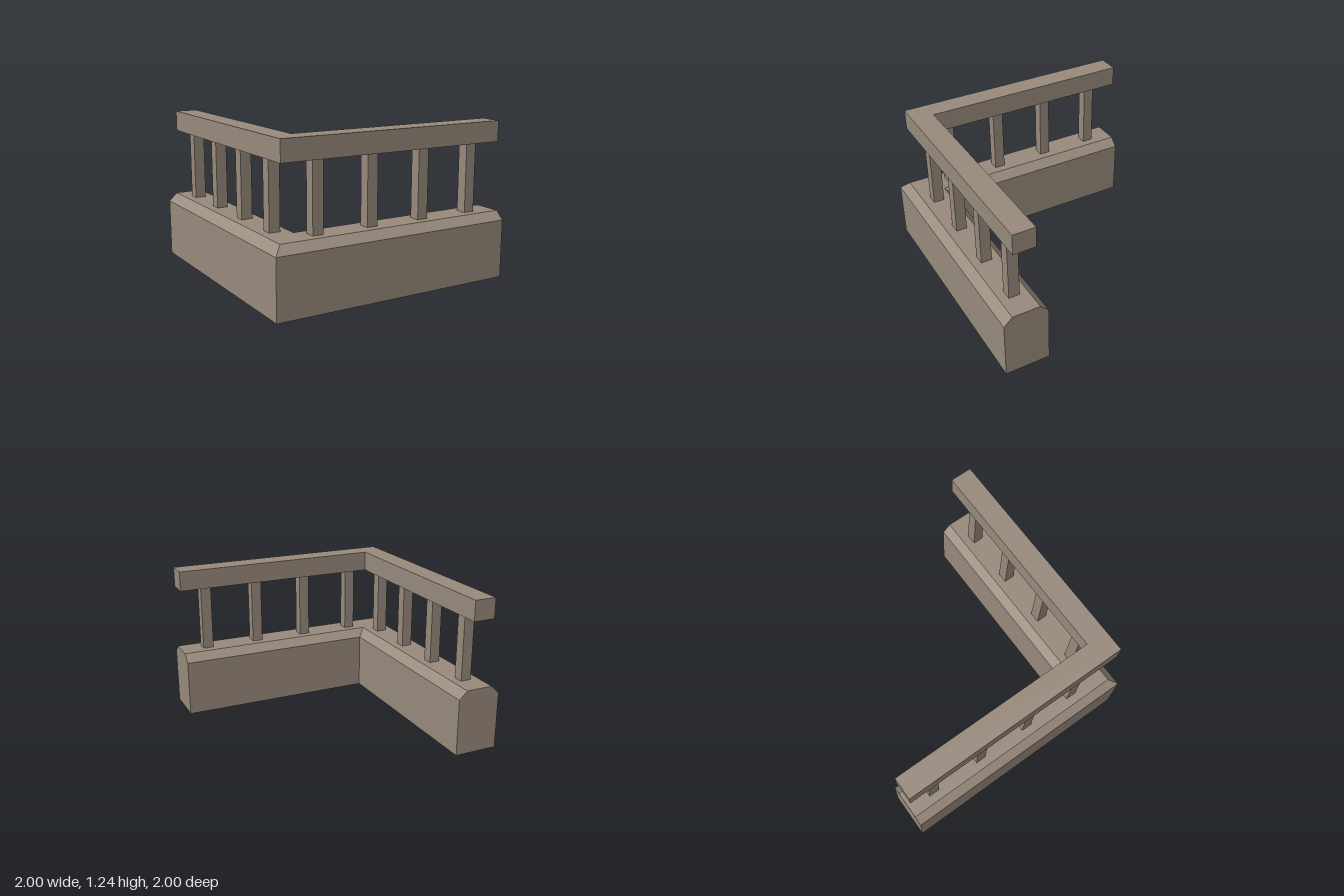
import * as THREE from 'three';

const MID = 0.82; // distance of the L-shaped centre line from the origin

// Sweeps a convex profile of [across, y] points along the L, with a mitred corner
function sweepL(profile, end) {
  const stations = [
    (u, y) => [-MID + u, y, -end],
    (u, y) => [-MID + u, y, MID - u],
    (u, y) => [end, y, MID - u],
  ];
  const rings = stations.map((at) => profile.map(([u, y]) => at(u, y)));
  const n = profile.length;
  const pos = [];
  const tri = (...corners) => corners.forEach((c) => pos.push(...c));
  for (let s = 0; s < 2; s++) {
    for (let i = 0; i < n; i++) {
      const j = (i + 1) % n;
      tri(rings[s][i], rings[s][j], rings[s + 1][j]);
      tri(rings[s][i], rings[s + 1][j], rings[s + 1][i]);
    }
  }
  // End caps
  for (let k = 1; k < n - 1; k++) {
    tri(rings[0][0], rings[0][k + 1], rings[0][k]);
    tri(rings[2][0], rings[2][k], rings[2][k + 1]);
  }
  const geo = new THREE.BufferGeometry();
  geo.setAttribute('position', new THREE.Float32BufferAttribute(pos, 3));
  geo.computeVertexNormals();
  return geo;
}

export function createModel() {
  const group = new THREE.Group();
  const stone = new THREE.MeshStandardMaterial({ color: 0x9a8c7e });
  stone.name = 'stone';

  const add = (name, geometry) => {
    const mesh = new THREE.Mesh(geometry, stone);
    mesh.name = name;
    group.add(mesh);
    return mesh;
  };

  // Low wall with chamfered top edges
  add('baseWall', sweepL([
    [-0.18, 0], [0.18, 0], [0.18, 0.465], [0.112, 0.53], [-0.112, 0.53], [-0.18, 0.465],
  ], 1));

  // Square handrail
  add('handrail', sweepL([
    [-0.09, 1.075], [0.09, 1.075], [0.09, 1.24], [-0.09, 1.24],
  ], 1));

  // Four balusters on each arm
  const post = new THREE.BoxGeometry(0.088, 0.545, 0.088);
  for (let i = 0; i < 4; i++) {
    const along = -0.595 + i * 0.455;
    add('frontBaluster', post).position.set(along, 0.8025, MID);
    add('sideBaluster', post).position.set(-MID, 0.8025, -along);
  }
  return group;
}
